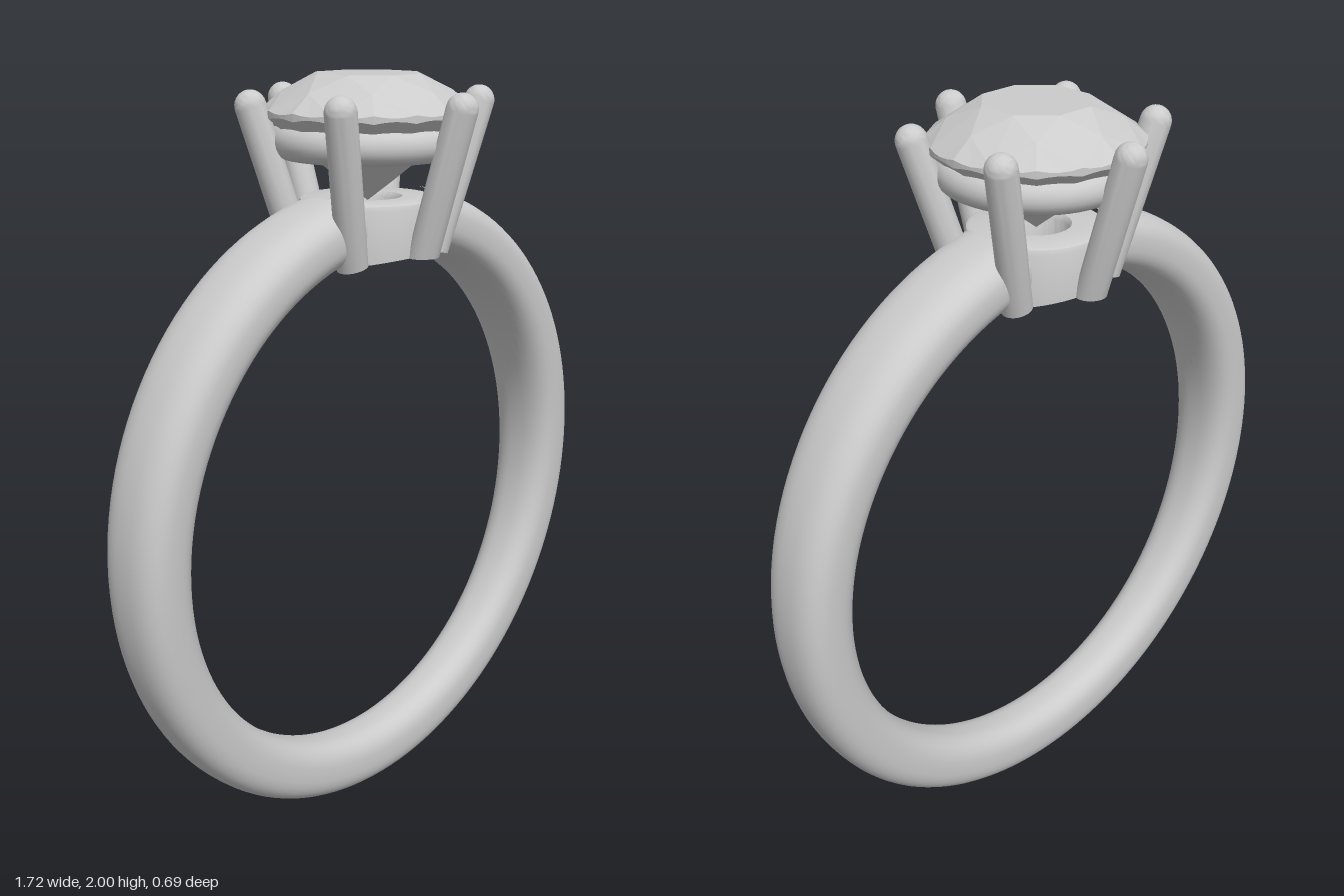
import * as THREE from 'three';
import { toCreasedNormals } from 'three/addons/utils/BufferGeometryUtils.js';

const CY = 0.86;         // centre height of the band
const INNER = 0.695;     // finger hole radius
const COLLAR = 0.18;     // outer radius of the collar under the stone
const material = new THREE.MeshStandardMaterial({ color: 0xcccccc });
const facetMaterial = new THREE.MeshStandardMaterial({ color: 0xcccccc, flatShading: true });

// Height of the top of the finger hole at a given x
const holeTop = (x) => CY + Math.sqrt(INNER * INNER - x * x);

function part(name, geometry, mat = material) {
  const mesh = new THREE.Mesh(geometry, mat);
  mesh.name = name;
  return mesh;
}

// Tapering band: rounded sections swept round the hole, ends trimmed to the collar
function bandGeometry() {
  const rows = 128, sides = 40, half = 0.0825, pos = [], index = [];
  const soft = (v) => Math.sign(v) * Math.pow(Math.abs(v), 2 / 2.6);
  for (let i = 0; i <= rows; i++) {
    const t = i / rows;
    const width = 0.098 + 0.022 * Math.cos(t * Math.PI * 2);
    for (let j = 0; j < sides; j++) {
      const a = (j / sides) * Math.PI * 2;
      const r = INNER + half + half * soft(Math.cos(a));
      const z = width * soft(Math.sin(a));
      const endZ = 0.12 * soft(Math.sin(a));
      const start = Math.asin(Math.sqrt((COLLAR - 0.005) ** 2 - endZ * endZ) / r);
      const u = start + t * (Math.PI * 2 - 2 * start);
      pos.push(r * Math.sin(u), CY + r * Math.cos(u), z);
      if (i < rows) {
        const b = i * sides + j, c = i * sides + (j + 1) % sides;
        index.push(b, c, b + sides, c, c + sides, b + sides);
      }
    }
  }
  const g = new THREE.BufferGeometry();
  g.setAttribute('position', new THREE.Float32BufferAttribute(pos, 3));
  g.setIndex(index);
  g.computeVertexNormals();
  return g;
}

// Collar with a bore, its underside following the finger hole
function collarGeometry() {
  const profile = [[0.08, 0], [0.13, 0], [COLLAR, 0], [COLLAR, 1.675], [0.175, 1.687],
    [0.165, 1.692], [0.09, 1.692], [0.08, 1.68], [0.08, 0]];
  const g = new THREE.LatheGeometry(profile.map(([x, y]) => new THREE.Vector2(x, y)), 64);
  const p = g.attributes.position;
  for (let i = 0; i < p.count; i++) if (p.getY(i) < 1) p.setY(i, holeTop(p.getX(i)));
  return toCreasedNormals(g, 0.7);
}

// Leaning claw with a round tip, its foot trimmed to the finger hole
function prongGeometry(angle) {
  const r = 0.04;
  const at = (radius, y) => new THREE.Vector3(radius * Math.sin(angle), y, radius * Math.cos(angle));
  const foot = at(0.19, 1.56), tip = at(0.305, 1.925);
  const axis = tip.clone().sub(foot), length = axis.length();
  axis.normalize();
  const profile = [new THREE.Vector2(0, 0), new THREE.Vector2(r, 0)];
  for (let i = 0; i <= 8; i++) {
    const a = (i / 8) * Math.PI / 2;
    profile.push(new THREE.Vector2(i === 8 ? 0 : r * Math.cos(a), length + r * Math.sin(a)));
  }
  const g = new THREE.LatheGeometry(profile, 24);
  const p = g.attributes.position, v = new THREE.Vector3();
  const turn = new THREE.Quaternion().setFromUnitVectors(new THREE.Vector3(0, 1, 0), axis);
  for (let i = 0; i < p.count; i++) {
    v.fromBufferAttribute(p, i);
    const isFoot = v.y < 0.001;
    v.applyQuaternion(turn).add(foot);
    for (let k = 0; isFoot && k < 6; k++) v.addScaledVector(axis, (holeTop(v.x) - v.y) / axis.y);
    p.setXYZ(i, v.x, v.y, v.z);
  }
  return toCreasedNormals(g, 0.7);
}

// Round brilliant cut stone: eight-fold crown and pavilion joined by a scalloped girdle
function stoneGeometry() {
  const pos = [], R = 0.27, step = Math.PI / 4, parts = 4;
  const point = (r, a, y) => [r * Math.cos(a + step / 2), y, r * Math.sin(a + step / 2)];
  const tri = (a, b, c, flip) => pos.push(...a, ...(flip ? c : b), ...(flip ? b : c));
  const edge = (a, y, dir) => point(R, a, y - dir * 0.006 * Math.abs(Math.sin(8 * a)));

  function side(innerR, innerY, midR, midY, rimY, dir) {
    const flip = dir > 0;
    for (let k = 0; k < 8; k++) {
      const a = k * step, b = a + step;
      const t0 = point(innerR, a, innerY), t1 = point(innerR, b, innerY);
      const m = point(midR, a + step / 2, midY);
      if (innerR > 0) {
        tri([0, innerY, 0], t0, t1, flip);      // table
        tri(t0, m, t1, flip);                   // star facet
      }
      tri(t0, edge(a, rimY, dir), m, flip);     // halves of the main facets
      tri(t1, m, edge(b, rimY, dir), flip);
      for (let i = 0; i < parts * 2; i++) {     // facets along the girdle
        const e = a + (i / (parts * 2)) * step, f = e + step / (parts * 2);
        tri(m, edge(e, rimY, dir), edge(f, rimY, dir), flip);
      }
    }
  }
  side(0.14, 2.0, 0.215, 1.959, 1.915, 1);
  side(0, 1.68, 0.07, 1.733, 1.895, -1);

  const n = 8 * parts * 2;
  for (let i = 0; i < n; i++) {
    const e = (i / n) * Math.PI * 2, f = ((i + 1) / n) * Math.PI * 2;
    const a = edge(e, 1.915, 1), b = edge(f, 1.915, 1);
    const c = edge(e, 1.895, -1), d = edge(f, 1.895, -1);
    tri(a, b, c);
    tri(b, d, c);
  }
  const g = new THREE.BufferGeometry();
  g.setAttribute('position', new THREE.Float32BufferAttribute(pos, 3));
  g.computeVertexNormals();
  return g;
}

export function createModel() {
  const ring = new THREE.Group();
  ring.name = 'ring';
  ring.add(part('band', bandGeometry()));

  // Head that holds the stone
  const head = new THREE.Group();
  head.name = 'setting';
  head.add(part('collar', collarGeometry()));
  const seat = part('seatRing', new THREE.TorusGeometry(0.21, 0.045, 20, 72).rotateX(Math.PI / 2));
  seat.position.y = 1.835;
  head.add(seat);
  for (let i = 0; i < 6; i++) head.add(part('prong', prongGeometry(i * Math.PI / 3)));
  ring.add(head);

  ring.add(part('stone', stoneGeometry(), facetMaterial));
  return ring;
}
